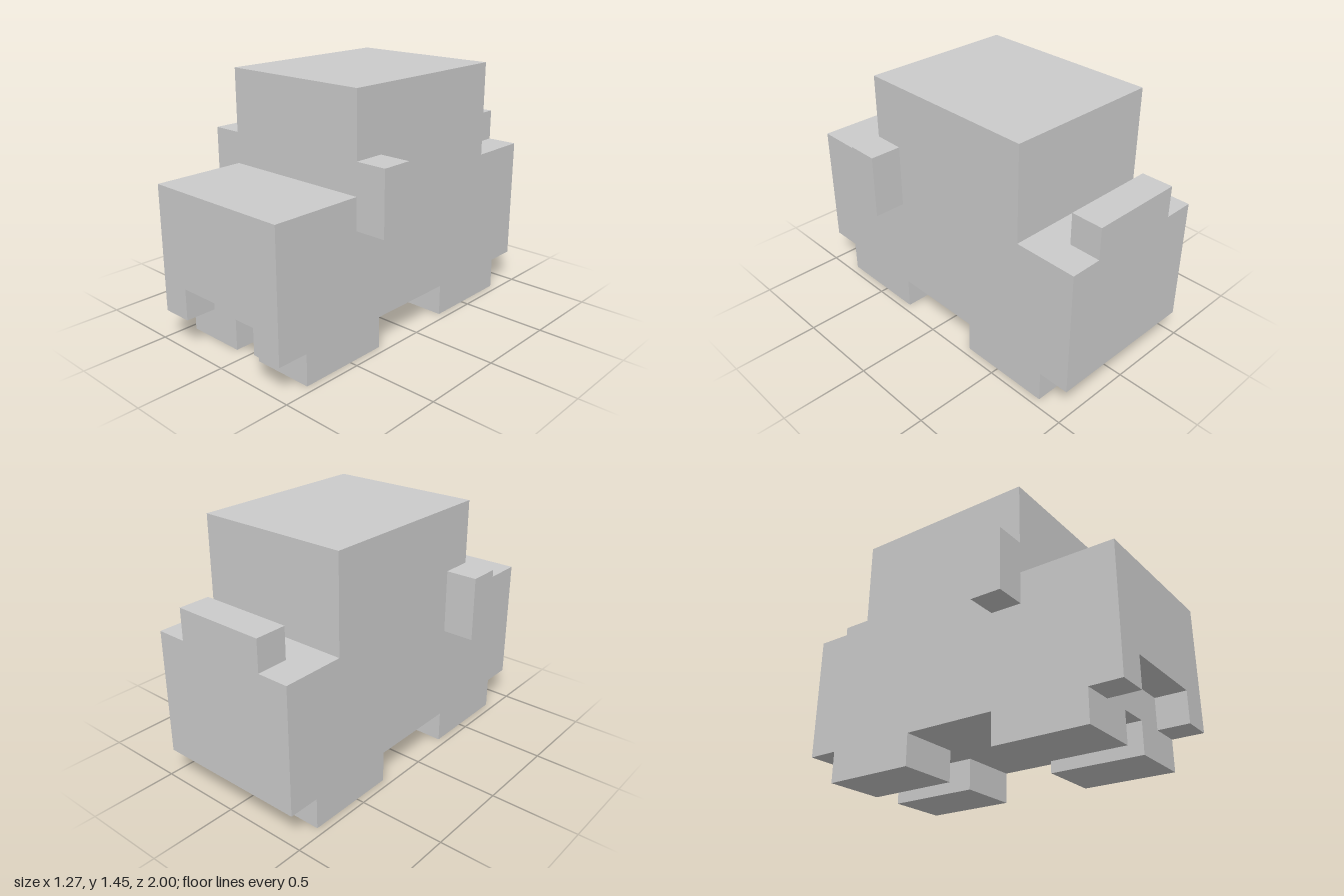
import * as THREE from 'three';

const U = 1 / 11; // one block unit
const material = new THREE.MeshStandardMaterial({ color: 0xcccccc, flatShading: true });

// Extrude a closed outline given in block units
function extrude(points, depth) {
  const shape = new THREE.Shape(points.map(([a, b]) => new THREE.Vector2(a * U, b * U)));
  return new THREE.ExtrudeGeometry(shape, { depth: depth * U, bevelEnabled: false });
}

export function createModel() {
  const model = new THREE.Group();
  model.name = 'blockAnimal';

  const add = (name, geometry) => {
    const mesh = new THREE.Mesh(geometry, material);
    mesh.name = name;
    model.add(mesh);
    return mesh;
  };

  // Box from its lower and upper corners in block units
  const box = (name, lo, hi) => {
    const size = hi.map((h, i) => (h - lo[i]) * U);
    const mid = hi.map((h, i) => ((h + lo[i]) / 2) * U);
    add(name, new THREE.BoxGeometry(...size)).position.set(...mid);
  };

  // Body and head: stepped side outline (z, y) swept across the width
  const side = [[-11, 2], [9, 2], [9, 10], [5, 10], [5, 16], [-7, 16], [-7, 10], [-11, 10]];
  const body = extrude(side.map(([z, y]) => [-z, y]), 10);
  body.rotateY(Math.PI / 2).translate(-5 * U, 0, 0);
  add('bodyAndHead', body);

  // Snout: front slab with the mouth cut out of its lower edge
  const snout = extrude([[-5, 2], [-3, 2], [-3, 4], [3, 4], [3, 2], [5, 2], [5, 10], [-5, 10]], 2);
  add('snout', snout.translate(0, 0, 9 * U));

  // Tail stub
  box('tail', [-3, 10, -11], [3, 12, -9]);

  // Mirrored ears and legs
  for (const [label, s] of [['left', 1], ['right', -1]]) {
    const pair = (name, x0, x1, y0, y1, z0, z1) =>
      box(label + name, [Math.min(s * x0, s * x1), y0, z0], [Math.max(s * x0, s * x1), y1, z1]);
    pair('Ear', 5, 7, 8, 12, 3, 5);
    pair('FrontLeg', 1, 5, 0, 2, 3, 9);
    pair('BackLeg', 1, 5, 0, 2, -9, -3);
  }

  return model;
}
